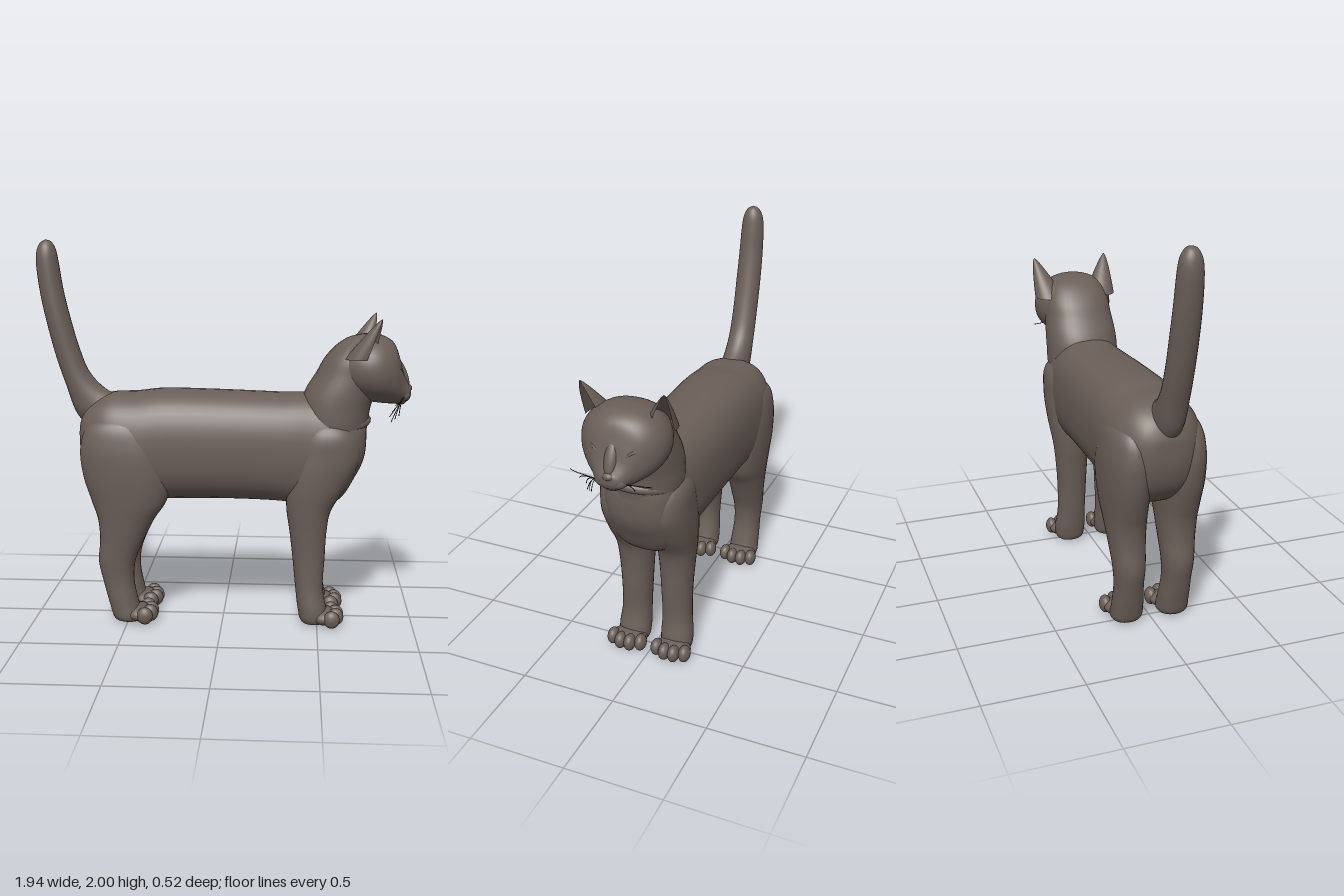
import * as THREE from 'three';

const fur = new THREE.MeshStandardMaterial({ color: 0x6b5f58, side: THREE.DoubleSide });
fur.name = 'brown grey fur';
const dark = new THREE.MeshStandardMaterial({ color: 0x2b2624 });
dark.name = 'dark whisker';

// Smooth surface from a point rule p(u, v); closed joins the last column to the first
function surface(nu, nv, p, closed) {
  const pos = [], idx = [], cols = closed ? nu : nu + 1;
  for (let j = 0; j <= nv; j++)
    for (let i = 0; i < cols; i++) pos.push(...p(i / nu, j / nv));
  for (let j = 0; j < nv; j++)
    for (let i = 0; i < nu; i++) {
      const a = j * cols + i, b = j * cols + (i + 1) % cols, c = a + cols, d = b + cols;
      idx.push(a, b, c, b, d, c);
    }
  const g = new THREE.BufferGeometry();
  g.setAttribute('position', new THREE.Float32BufferAttribute(pos, 3));
  g.setIndex(idx);
  g.computeVertexNormals();
  return g;
}

// Catmull-Rom interpolation of whole rows of numbers
function rowAt(rows, t) {
  const f = t * (rows.length - 1), i = Math.min(Math.floor(f), rows.length - 2), s = f - i;
  const [a, b, c, d] = [rows[Math.max(i - 1, 0)], rows[i], rows[i + 1], rows[Math.min(i + 2, rows.length - 1)]];
  return b.map((_, k) => b[k] + 0.5 * s * (c[k] - a[k]
    + s * (2 * a[k] - 5 * b[k] + 4 * c[k] - d[k] + s * (3 * (b[k] - c[k]) + d[k] - a[k]))));
}

const bulge = (v, n) => Math.sign(v) * Math.abs(v) ** (2 / n);

// Loft along x: rows are [x, top, bottom, half width]
function loftX(rows, n = 2) {
  return surface(40, rows.length * 6, (u, v) => {
    const [x, top, bot, w] = rowAt(rows, v), a = u * Math.PI * 2;
    return [x, (top + bot) / 2 + bulge(Math.sin(a), n) * (top - bot) / 2, bulge(Math.cos(a), n) * w];
  }, true);
}

// Loft along y: rows are [y, back x, front x, z centre, half width]
function loftY(rows, n = 2) {
  return surface(32, rows.length * 6, (u, v) => {
    const [y, x0, x1, z, w] = rowAt(rows, v), a = -u * Math.PI * 2;
    return [(x0 + x1) / 2 + bulge(Math.cos(a), n) * (x1 - x0) / 2, y, z + bulge(Math.sin(a), n) * w];
  }, true);
}

export function createModel() {
  const cat = new THREE.Group();
  cat.name = 'cat';
  const add = (name, geo, mat = fur) => {
    const m = new THREE.Mesh(geo, mat);
    m.name = name;
    cat.add(m);
    return m;
  };
  const ball = (name, x, y, z, rx, ry, rz) => {
    const m = add(name, new THREE.SphereGeometry(1, 20, 14));
    m.position.set(x, y, z);
    m.scale.set(rx, ry, rz);
    return m;
  };

  // Trunk from rump to chest
  add('body', loftX([
    [-0.755, 1.0, 1.0, 0], [-0.748, 1.07, 0.89, 0.09], [-0.7, 1.15, 0.77, 0.165],
    [-0.6, 1.205, 0.68, 0.222], [-0.45, 1.215, 0.64, 0.242], [-0.3, 1.23, 0.65, 0.24],
    [0, 1.225, 0.655, 0.235], [0.3, 1.215, 0.645, 0.225], [0.45, 1.215, 0.62, 0.215],
    [0.6, 1.2, 0.65, 0.205], [0.69, 1.15, 0.78, 0.165], [0.735, 1.08, 0.88, 0.1], [0.748, 0.99, 0.99, 0]], 2.5));

  // Neck and the soft fold of the ruff
  add('neck', loftY([
    [0.85, 0.5, 0.66, 0, 0.1], [0.95, 0.42, 0.735, 0, 0.17], [1.05, 0.4, 0.75, 0, 0.195],
    [1.15, 0.4, 0.765, 0, 0.198], [1.23, 0.425, 0.79, 0, 0.195], [1.32, 0.48, 0.81, 0, 0.185],
    [1.4, 0.525, 0.82, 0, 0.175], [1.47, 0.59, 0.82, 0, 0.14], [1.51, 0.66, 0.8, 0, 0.09],
    [1.52, 0.74, 0.74, 0, 0]], 2.2));
  const ruff = add('ruff', new THREE.TorusGeometry(0.17, 0.025, 12, 40));
  ruff.rotation.set(Math.PI / 2, 0.22, 0);
  ruff.position.set(0.578, 1.04, 0);

  // Head with brow, tapering into the muzzle
  add('head', loftX([
    [0.53, 1.36, 1.36, 0], [0.56, 1.43, 1.27, 0.1], [0.62, 1.49, 1.22, 0.165], [0.7, 1.52, 1.19, 0.208],
    [0.77, 1.525, 1.175, 0.215], [0.83, 1.512, 1.168, 0.197], [0.88, 1.475, 1.165, 0.157],
    [0.91, 1.4, 1.167, 0.116], [0.932, 1.32, 1.17, 0.088], [0.955, 1.27, 1.18, 0.062],
    [0.968, 1.25, 1.2, 0.035], [0.972, 1.225, 1.225, 0]], 2.15));
  ball('nose', 0.955, 1.245, 0, 0.022, 0.02, 0.03);
  ball('noseBridge', 0.913, 1.32, 0, 0.035, 0.1, 0.035).rotation.z = 0.4;
  ball('chin', 0.915, 1.182, 0, 0.035, 0.025, 0.045);

  // Tail with a rounded tip: rows are [centre x, centre y, half depth, half width]
  const tail = [[-0.6, 1.08, 0.12, 0.08], [-0.7, 1.165, 0.1, 0.075], [-0.765, 1.28, 0.072, 0.07],
    [-0.815, 1.42, 0.066, 0.068], [-0.855, 1.57, 0.063, 0.068], [-0.888, 1.72, 0.061, 0.066],
    [-0.908, 1.86, 0.059, 0.062], [-0.915, 1.94, 0.051, 0.053], [-0.917, 1.985, 0.03, 0.03], [-0.917, 2.0, 0, 0]];
  add('tail', surface(28, 60, (u, v) => {
    const [x, y, r, w] = rowAt(tail, v), a = -u * Math.PI * 2;
    const tilt = 0.85 * (1 - v) ** 2 + 0.12;
    return [x + Math.cos(a) * r * Math.cos(tilt), y + Math.cos(a) * r * Math.sin(tilt), 0.015 + Math.sin(a) * w];
  }, true));

  for (const s of [1, -1]) {
    const side = s > 0 ? 'left' : 'right';

    // Legs
    add(side + 'FrontLeg', loftY([
      [0.0, 0.48, 0.48, s * 0.12, 0], [0.015, 0.42, 0.55, s * 0.12, 0.07], [0.08, 0.4, 0.55, s * 0.12, 0.085],
      [0.2, 0.385, 0.53, s * 0.115, 0.078], [0.35, 0.37, 0.537, s * 0.112, 0.08], [0.5, 0.352, 0.545, s * 0.113, 0.088],
      [0.62, 0.335, 0.568, s * 0.115, 0.098], [0.75, 0.335, 0.645, s * 0.12, 0.108], [0.9, 0.36, 0.71, s * 0.12, 0.112],
      [1.04, 0.42, 0.68, s * 0.115, 0.1], [1.14, 0.55, 0.55, s * 0.1, 0]], 2.2));
    add(side + 'HindLeg', loftY([
      [0.0, -0.5, -0.5, s * 0.125, 0], [0.015, -0.57, -0.42, s * 0.125, 0.075], [0.1, -0.6, -0.445, s * 0.125, 0.08],
      [0.22, -0.63, -0.467, s * 0.128, 0.074], [0.33, -0.652, -0.458, s * 0.13, 0.08], [0.45, -0.643, -0.41, s * 0.132, 0.09],
      [0.56, -0.652, -0.355, s * 0.135, 0.1], [0.66, -0.683, -0.29, s * 0.137, 0.11], [0.8, -0.725, -0.26, s * 0.14, 0.117],
      [0.95, -0.735, -0.28, s * 0.14, 0.113], [1.07, -0.68, -0.36, s * 0.13, 0.09], [1.14, -0.5, -0.5, s * 0.12, 0]], 2.2));

    // Paws with four toes each
    for (const [name, x] of [['Front', 0.54], ['Hind', -0.44]]) {
      ball(side + name + 'Paw', x, 0.045, s * 0.125, 0.075, 0.045, 0.095);
      [-1.5, -0.5, 0.5, 1.5].forEach(k =>
        ball(side + name + 'Toe', x + 0.058 - (Math.abs(k) > 1 ? 0.022 : 0), 0.048, s * 0.125 + k * 0.052, 0.042, 0.046, 0.031));
    }

    // Cupped ear, open to the front and a little outward
    add(side + 'Ear', surface(24, 14, (u, v) => {
      const a = 0.35 + 0.85 + u * (Math.PI * 2 - 1.7), r = (1 - v) ** 0.75;
      const x = 0.7 + 0.1 * v + Math.cos(a) * 0.078 * r;
      const z = 0.148 + 0.06 * v + Math.sin(a) * 0.082 * r;
      return [x, 1.41 + 0.207 * v, s * z];
    }, false));

    // Eye with upper and lower lid
    const eye = ball(side + 'Eye', 0.89, 1.335, s * 0.098, 0.018, 0.024, 0.036);
    eye.rotation.y = -s * 0.6;
    for (const up of [1, -1]) {
      const lid = new THREE.QuadraticBezierCurve3(
        new THREE.Vector3(0.915, 1.32, s * 0.063), new THREE.Vector3(0.91, 1.338 + up * 0.045, s * 0.1),
        new THREE.Vector3(0.872, 1.348, s * 0.142));
      add(side + 'Eyelid', new THREE.TubeGeometry(lid, 14, 0.008, 8));
    }
    ball(side + 'WhiskerPad', 0.932, 1.212, s * 0.037, 0.032, 0.032, 0.042);
  }

  // Whiskers, long and drooping on the left, short on the right
  const whiskers = [[0.86, 1.09, 0.15], [0.88, 1.1, 0.13], [0.85, 1.12, 0.17], [0.9, 1.12, 0.14],
    [0.87, 1.19, 0.24], [0.86, 1.15, 0.2], [0.9, 1.2, -0.19], [0.91, 1.17, -0.11]];
  for (const [x, y, z] of whiskers) {
    const curve = new THREE.QuadraticBezierCurve3(new THREE.Vector3(0.93, 1.205, Math.sign(z) * 0.06),
      new THREE.Vector3(0.91, 1.2, z * 0.8), new THREE.Vector3(x, y, z));
    add('whisker', new THREE.TubeGeometry(curve, 8, 0.0022, 4), dark);
  }
  return cat;
}
